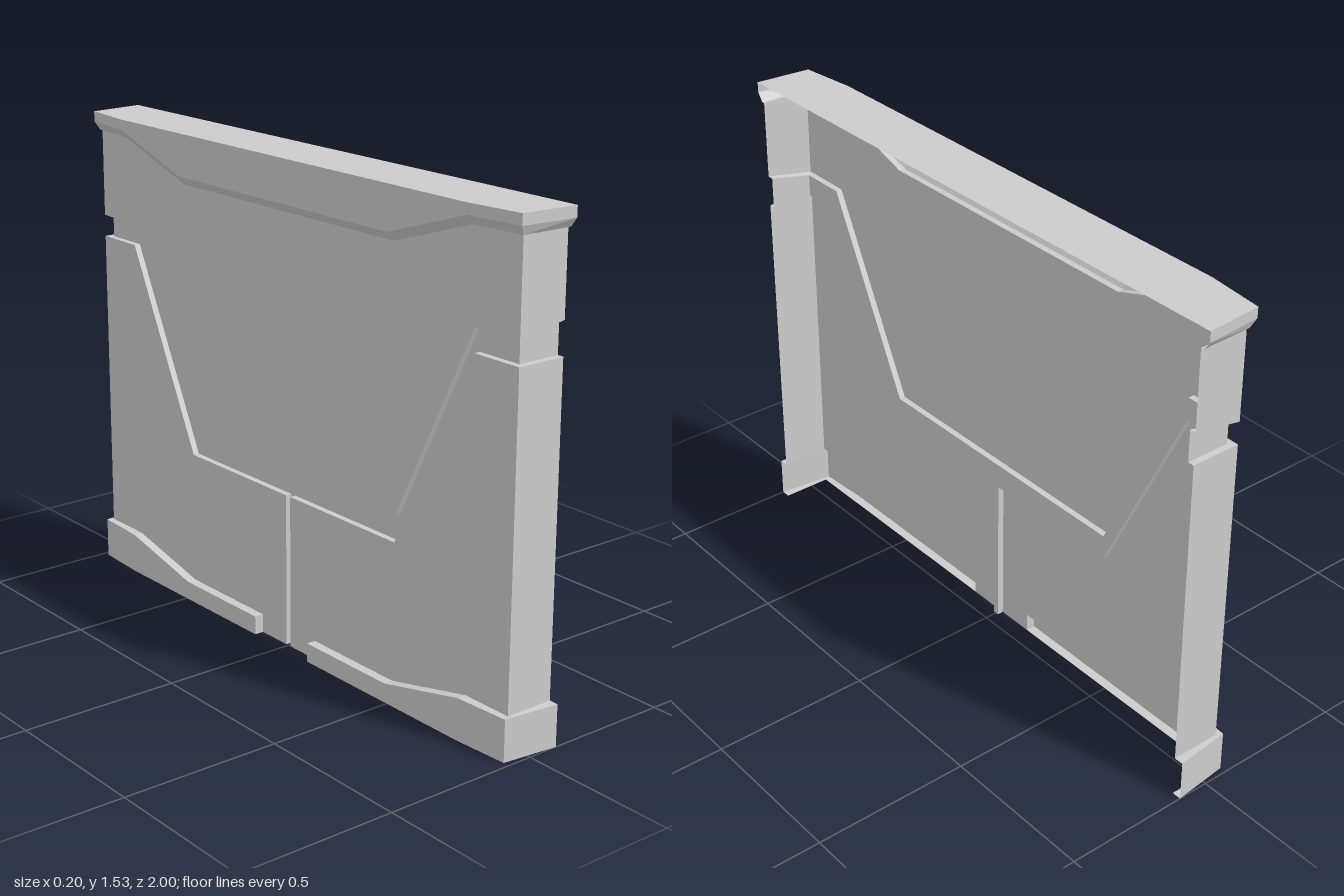
import * as THREE from 'three';

const material = new THREE.MeshStandardMaterial({ color: 0xcccccc, flatShading: true, side: THREE.DoubleSide });

// Skin a sequence of equally long rows of [x, y, z] points; side = -1 mirrors it in z.
function loft(rows, side) {
  const pos = [];
  const v = p => new THREE.Vector3(p[0], p[1], p[2] * side);
  const tri = (a, b, c) => {
    const t = new THREE.Triangle(v(a), v(b), v(c));
    if (t.getArea() < 1e-8) return;
    const order = side > 0 ? [t.a, t.b, t.c] : [t.a, t.c, t.b];
    order.forEach(p => pos.push(p.x, p.y, p.z));
  };
  for (let r = 0; r + 1 < rows.length; r++) {
    for (let i = 0; i + 1 < rows[r].length; i++) {
      const a = rows[r][i], b = rows[r][i + 1], c = rows[r + 1][i + 1], d = rows[r + 1][i];
      tri(a, d, c);
      tri(a, c, b);
    }
  }
  const geo = new THREE.BufferGeometry();
  geo.setAttribute('position', new THREE.Float32BufferAttribute(pos, 3));
  geo.computeVertexNormals();
  return geo;
}

export function createModel() {
  const group = new THREE.Group();
  const BACK = 0.1, FACE = -0.06, DEEP = -0.04;

  // Adds a part on both halves of the panel.
  const add = (name, ...rows) => {
    for (const side of [1, -1]) {
      const mesh = new THREE.Mesh(loft(rows, side), material);
      mesh.name = name + (side > 0 ? 'Front' : 'Rear');
      group.add(mesh);
    }
  };

  // A row that runs along the end wall, round the corner and along the face to the middle.
  const row = (x, endZ, yBack, yEnd, yMid) => [
    [BACK, yBack, endZ], [x, yEnd, endZ], [x, yEnd, 0.8], [x, yMid, 0.49], [x, yMid, 0]
  ];

  // Upper panel, from the top trim down to the groove
  const trimFoot = row(FACE, 0.97, 1.47, 1.47, 1.37);
  const grooveTop = row(FACE, 0.97, 1.22, 1.19, 0.57);
  add('upperPanel', trimFoot, grooveTop);

  // Recessed groove that wraps round the ends
  const floorTop = row(DEEP, 0.95, 1.22, 1.19, 0.57);
  const floorLow = row(DEEP, 0.95, 1.12, 1.12, 0.49);
  add('grooveUpperWall', grooveTop, floorTop);
  add('grooveFloor', floorTop, floorLow);

  // Lower ledge of the groove, turning down into the centre slot
  const ledge = (x, endZ) => [
    ...row(x, endZ, 1.12, 1.12, 0.49).slice(0, 4), [x, 0.49, 0.01], [x, 0, 0.01]
  ];
  add('grooveLowerWall', ledge(DEEP, 0.95), ledge(FACE, 0.97));
  add('centreSlotFloor',
    [[DEEP, 0.49, 0.01], [DEEP, 0.49, 0]],
    [[DEEP, 0, 0.01], [DEEP, 0, 0]]);

  // Lower panel, cut away behind the base trim
  const baseTop = [
    [BACK, 0.13, 0.97], [FACE, 0.13, 0.97], [FACE, 0.13, 0.8], [FACE, 0.06, 0.49], [FACE, 0.06, 0.13]
  ];
  add('lowerPanel',
    [...row(FACE, 0.97, 1.12, 1.12, 0.49).slice(0, 4),
      [FACE, 0.49, 0.13], [FACE, 0.49, 0.13], [FACE, 0.49, 0.01]],
    [...baseTop, [FACE, 0, 0.13], [FACE, 0, 0.01]]);

  // Top trim: flange, bevel and upright band
  const plan = [[BACK, 1], [-0.08, 0.985], [-0.1, 0.8], [-0.1, 0.49], [-0.1, 0]];
  const flangePlan = [[BACK, 0.98], [-0.065, 0.975], [-0.08, 0.8], [-0.08, 0.49], [-0.08, 0]];
  const flange = flangePlan.map(([x, z], i) => [x, trimFoot[i][1], z]);
  const bevel = plan.map(([x, z], i) => [x, trimFoot[i][1] + 0.027, z]);
  const rim = plan.map(([x, z]) => [x, 1.53, z]);
  add('topTrim', rim, bevel, flange, trimFoot);

  // Flat top cap
  add('topCap', rim.map(([x, y]) => [x, y, 0]), rim);

  // Base trim: top ledge, outer band and underside, closed beside the centre gap
  const basePlan = [[BACK, 1], [-0.08, 0.98], [-0.09, 0.8], [-0.09, 0.49], [-0.09, 0.13]];
  const outerTop = basePlan.map(([x, z], i) => [x, baseTop[i][1], z]);
  const outerLow = basePlan.map(([x, z]) => [x, 0, z]);
  const innerLow = baseTop.map(([x, , z]) => [x, 0, z]);
  add('baseTrim', baseTop, outerTop, outerLow, innerLow);
  add('baseTrimEnd', [outerTop[4], baseTop[4]], [outerLow[4], innerLow[4]]);

  return group;
}
